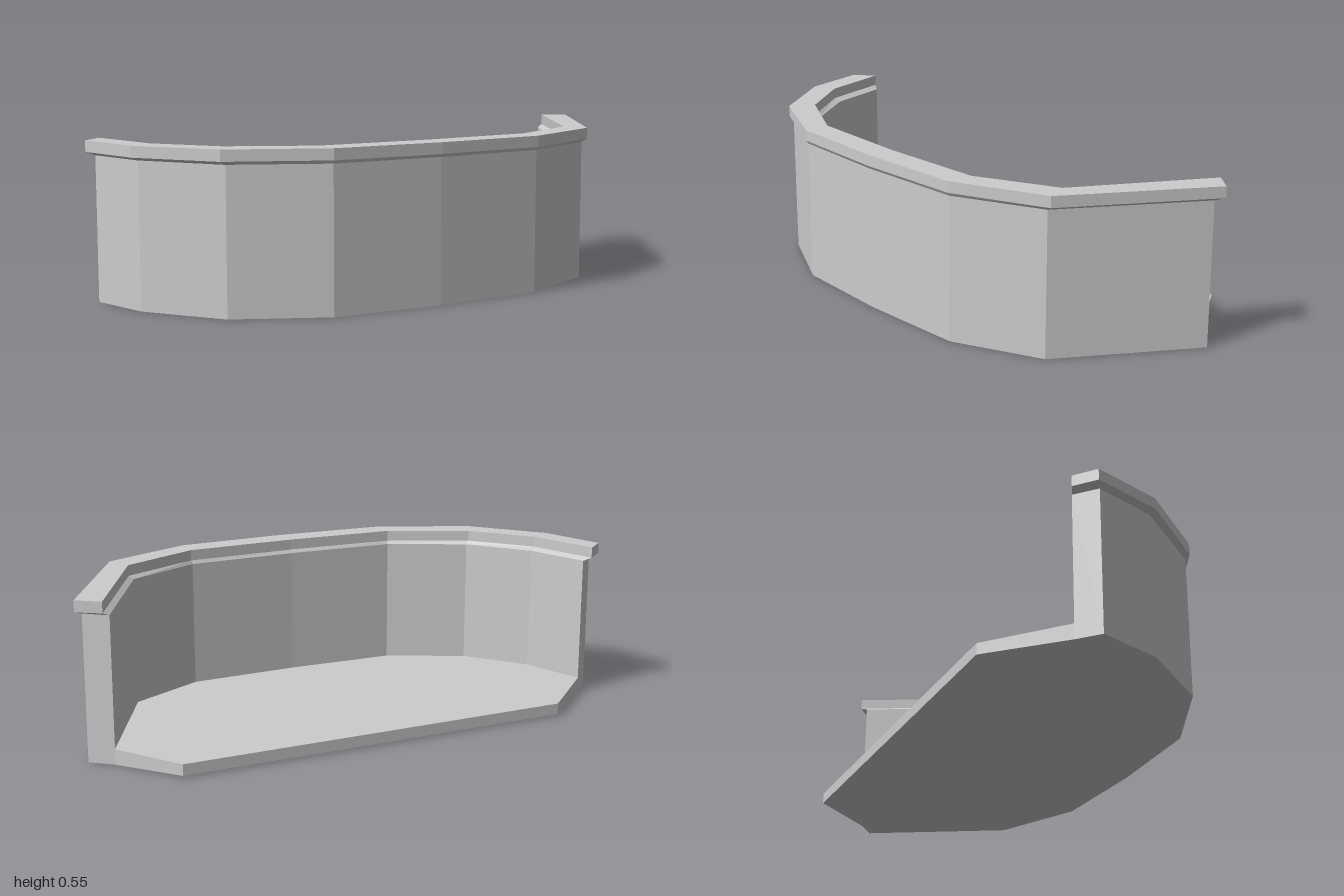
import * as THREE from 'three';

// Plan outlines as [x, z], running from the right end round the front to the left end
const railOuter = [[-1, -0.2], [-0.93, 0.04], [-0.73, 0.29], [-0.4, 0.435], [0, 0.452], [0.4, 0.435], [0.725, 0.29], [1, -0.2]];
const wallOuter = [[-0.972, -0.182], [-0.905, 0.033], [-0.71, 0.285], [-0.398, 0.428], [0, 0.444], [0.398, 0.428], [0.705, 0.285], [0.97, -0.182]];
const railInner = [[-0.93, -0.257], [-0.85, 0.0], [-0.683, 0.205], [-0.403, 0.341], [0, 0.355], [0.403, 0.341], [0.685, 0.205], [0.925, -0.257]];
const wallInner = [[-0.903, -0.243], [-0.83, -0.012], [-0.67, 0.197], [-0.4, 0.334], [0, 0.346], [0.4, 0.334], [0.67, 0.197], [0.898, -0.243]];

// Joins matching [outline, height] rings into a closed, faceted solid with end caps
function sweep(edges) {
  const stations = edges[0][0].length, n = edges.length, out = [];
  const put = (i, j) => {
    const [line, y] = edges[j % n];
    out.push(line[i][0], y, line[i][1]);
  };
  for (let i = 0; i < stations - 1; i++) {
    for (let j = 0; j < n; j++) {
      put(i, j); put(i + 1, j); put(i + 1, j + 1);
      put(i, j); put(i + 1, j + 1); put(i, j + 1);
    }
  }
  for (let j = 1; j < n - 1; j++) {
    put(0, 0); put(0, j); put(0, j + 1);
    put(stations - 1, 0); put(stations - 1, j + 1); put(stations - 1, j);
  }
  const geo = new THREE.BufferGeometry();
  geo.setAttribute('position', new THREE.Float32BufferAttribute(out, 3));
  geo.computeVertexNormals();
  return geo;
}

export function createModel() {
  const group = new THREE.Group();
  const grey = new THREE.MeshStandardMaterial({ color: 0xcccccc });
  grey.name = 'light grey';
  const add = (name, geo) => {
    const mesh = new THREE.Mesh(geo, grey);
    mesh.name = name;
    group.add(mesh);
  };

  // Upright curved wall
  add('wall', sweep([[wallOuter, 0], [wallOuter, 0.5], [wallInner, 0.5], [wallInner, 0]]));

  // Overhanging top rail with bevelled underside and inner ledge
  add('topRail', sweep([
    [railInner, 0.512], [wallInner, 0.5], [wallOuter, 0.5],
    [railOuter, 0.511], [railOuter, 0.55], [railInner, 0.55],
  ]));

  // Flat floor inside the wall
  const shape = new THREE.Shape(wallInner.map(([x, z]) => new THREE.Vector2(x, -z)));
  const floor = new THREE.ExtrudeGeometry(shape, { depth: 0.053, bevelEnabled: false });
  floor.rotateX(-Math.PI / 2);
  add('floor', floor);

  // Tapered floor lip reaching out of the open back
  const hinge = [wallInner[0], wallInner[7]];
  const back = [[-0.67, -0.455], [0.745, -0.455]];
  add('rearFloorLip', sweep([[hinge, 0], [hinge, 0.053], [back, 0.047], [back, 0.008]]));

  return group;
}
